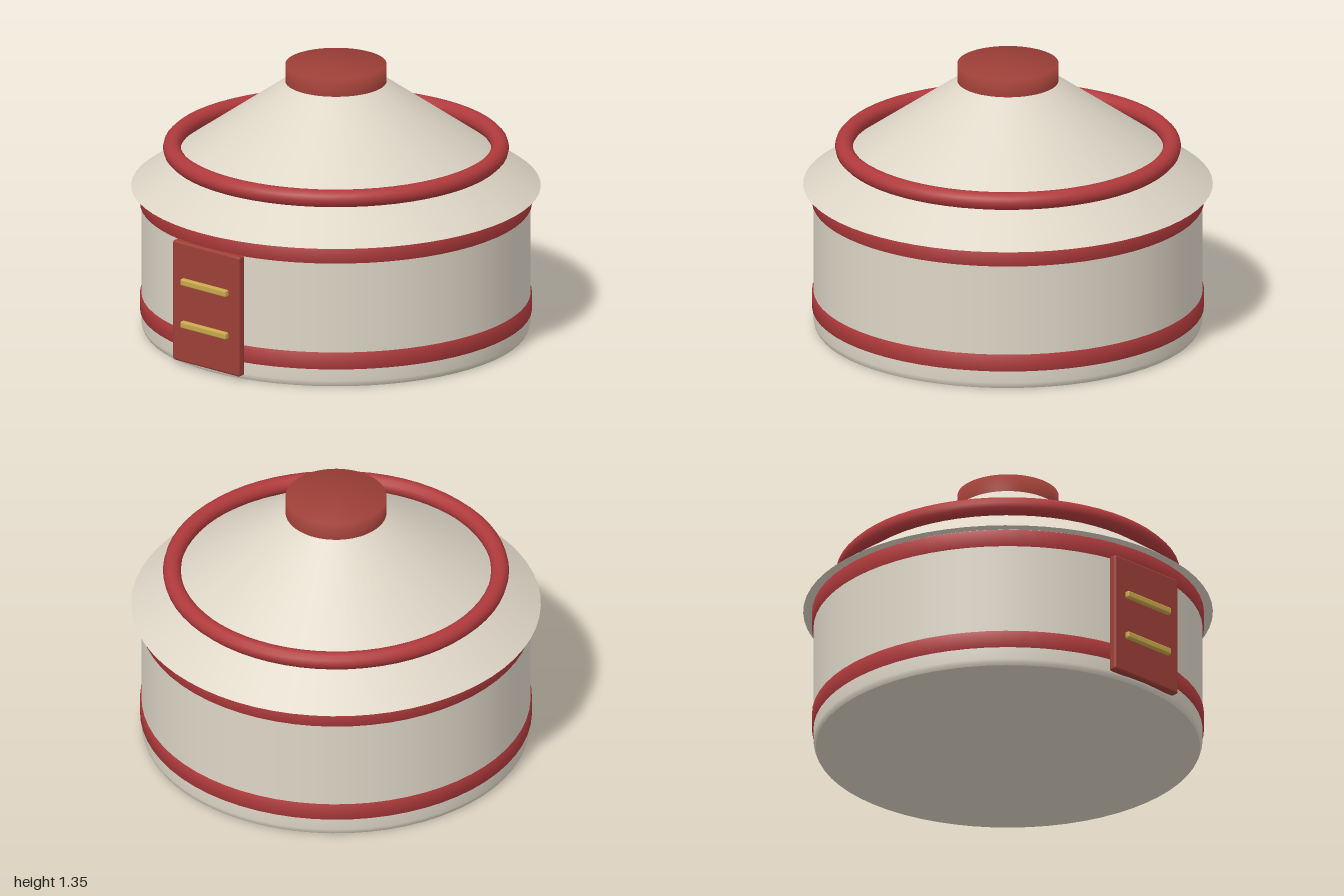
import * as THREE from 'three';
import { RoundedBoxGeometry } from 'three/addons/geometries/RoundedBoxGeometry.js';

const SEGMENTS = 64;

function material(name, color) {
  const m = new THREE.MeshStandardMaterial({ color });
  m.name = name;
  return m;
}

// Surface of revolution from [radius, height] pairs, listed bottom to top on the outside
function lathe(profile) {
  return new THREE.LatheGeometry(profile.map(([r, y]) => new THREE.Vector2(r, y)), SEGMENTS);
}

export function createModel() {
  const canvas = material('canvas', 0xddd5c6);
  const red = material('red trim', 0xb03a3c);
  const wood = material('painted wood', 0x9c3f37);
  const brass = material('brass', 0xc9a84c);

  const model = new THREE.Group();
  model.name = 'roundTent';

  function add(name, geometry, mat, x = 0, y = 0, z = 0) {
    const mesh = new THREE.Mesh(geometry, mat);
    mesh.name = name;
    mesh.position.set(x, y, z);
    model.add(mesh);
    return mesh;
  }

  // Round wall with a softened bottom edge, and its floor
  add('wall', lathe([[0.938, 0], [0.945, 0.012], [0.95, 0.03], [0.95, 0.09], [0.95, 0.73]]), canvas);
  add('floor', new THREE.CircleGeometry(0.938, SEGMENTS).rotateX(Math.PI / 2), canvas);

  // Conical roof with overhanging eave
  add('roof', new THREE.CylinderGeometry(0.247, 1, 0.535, SEGMENTS), canvas, 0, 0.9925, 0);

  // Belts around the wall
  const belt = [[0.93, 0], [0.957, 0], [0.957, 0.085], [0.93, 0.085]];
  add('lowerBelt', lathe(belt), red, 0, 0.092, 0);
  add('upperBelt', lathe(belt), red, 0, 0.636, 0);

  // Ring lying on the roof
  add('roofRing', new THREE.TorusGeometry(0.801, 0.044, 12, SEGMENTS).rotateX(Math.PI / 2), red, 0, 0.92, 0);

  // Crown cap with soft shading over its rim
  add('crown', lathe([[0.247, 1.25], [0.247, 1.35], [0, 1.35]]), wood);

  // Door and its two bars
  add('door', new RoundedBoxGeometry(0.43, 0.615, 0.046, 3, 0.012), wood, 0, 0.333, 0.952);
  for (const [name, y] of [['lowerDoorBar', 0.225], ['upperDoorBar', 0.443]]) {
    add(name, new RoundedBoxGeometry(0.294, 0.034, 0.034, 3, 0.008), brass, 0, y, 0.981);
  }

  return model;
}
